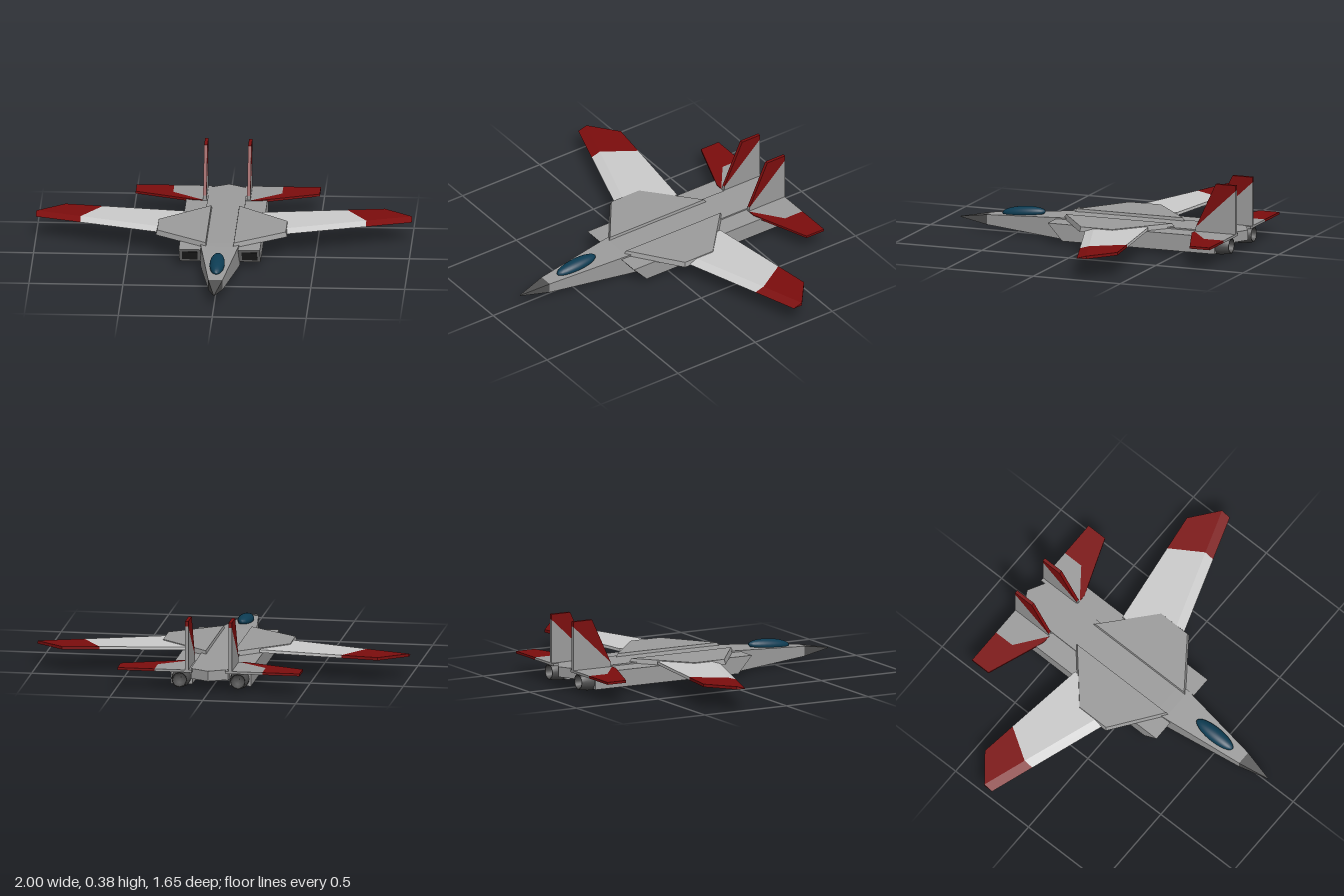
import * as THREE from 'three';

const mat = (name, color, side = THREE.FrontSide) => {
  const m = new THREE.MeshStandardMaterial({ color, side });
  m.name = name;
  return m;
};

// Skin a row of convex cross-sections (equal point counts), cap both ends, flat normals.
function loft(sections) {
  const n = sections[0].length, tris = [];
  for (let s = 0; s < sections.length - 1; s++) {
    const a = sections[s], b = sections[s + 1];
    for (let i = 0; i < n; i++) {
      const j = (i + 1) % n;
      tris.push([a[i], a[j], b[j]], [a[i], b[j], b[i]]);
    }
  }
  const first = sections[0], last = sections[sections.length - 1];
  for (let i = 1; i < n - 1; i++) {
    tris.push([first[0], first[i + 1], first[i]], [last[0], last[i], last[i + 1]]);
  }
  // Turn all faces outward if the signed volume is negative
  let volume = 0;
  const v = tris.map(t => t.map(p => new THREE.Vector3(...p)));
  v.forEach(([a, b, c]) => { volume += a.dot(b.clone().cross(c)); });
  if (volume < 0) v.forEach(t => t.reverse());
  const g = new THREE.BufferGeometry().setFromPoints(v.flat());
  g.computeVertexNormals();
  return g;
}

// Horizontal plate: outlines are [x, z]; the top outline may differ from the bottom one.
const plate = (s, y0, y1, bottom, top = bottom) =>
  loft([bottom.map(([x, z]) => [s * x, y0, z]), top.map(([x, z]) => [s * x, y1, z])]);

// Upright slab: outline is [z, y], spanning x0 to x1.
const slab = (s, x0, x1, outline) =>
  loft([x0, x1].map(x => outline.map(([z, y]) => [s * x, y, z])));

// Four-cornered body section
const ring = (z, w, y0, y1) => [[-w, y0, z], [w, y0, z], [w, y1, z], [-w, y1, z]];

export function createModel() {
  const grey = mat('bodyGrey', 0x9c9c9c);
  const light = mat('wingLightGrey', 0xcbcbcb);
  const red = mat('markingRed', 0x7c0d0d);
  const dark = mat('darkGrey', 0x505050, THREE.DoubleSide);
  const black = mat('intakeBlack', 0x2c2c2c);
  const glass = mat('canopyBlue', 0x0d3d54);

  const model = new THREE.Group();
  model.name = 'jet';
  const add = (name, geometry, material, parent = model) => {
    const mesh = new THREE.Mesh(geometry, material);
    mesh.name = name;
    parent.add(mesh);
    return mesh;
  };

  // Fuselage, nose and pointed tail
  add('fuselage', loft([
    ring(0.66, 0.038, 0.036, 0.09), ring(0.2, 0.1, 0.005, 0.122), ring(0.14, 0.105, 0, 0.123),
    ring(-0.1, 0.105, 0, 0.123), ring(-0.77, 0.1, 0.062, 0.12),
  ]), grey);
  add('noseCone', loft([ring(0.66, 0.038, 0.036, 0.09), ring(0.825, 0.002, 0.058, 0.062)]), dark);
  add('tailPoint', plate(1, 0.065, 0.12, [[-0.1, -0.77], [0.1, -0.77], [0, -0.825]]), grey);

  // Canopy
  const canopy = add('canopy', new THREE.SphereGeometry(1, 24, 16), glass);
  canopy.scale.set(0.04, 0.032, 0.124);
  canopy.position.set(0, 0.113, 0.462);
  canopy.rotation.x = 0.1;

  for (const s of [1, -1]) {
    const side = new THREE.Group();
    side.name = s > 0 ? 'leftSide' : 'rightSide';
    model.add(side);

    // Fixed wing root, with bevelled outer edges
    add('wingRoot', plate(s, 0.112, 0.138,
      [[0.07, 0.205], [0.35, 0], [0.35, -0.19], [0.07, -0.435]],
      [[0.075, 0.19], [0.342, -0.005], [0.342, -0.185], [0.075, -0.42]]), grey, side);

    // Swept wing with a sloped leading edge and red tip
    add('wing', plate(s, 0.118, 0.134,
      [[0.2, 0.02], [0.76, -0.169], [0.76, -0.22], [0.65, -0.395], [0.2, -0.333]],
      [[0.2, -0.03], [0.76, -0.222], [0.75, -0.238], [0.65, -0.395], [0.2, -0.333]]), light, side);
    add('wingTip', plate(s, 0.118, 0.134,
      [[0.76, -0.169], [1, -0.25], [1, -0.303], [0.85, -0.422], [0.65, -0.395], [0.76, -0.22]],
      [[0.76, -0.222], [1, -0.303], [0.997, -0.306], [0.85, -0.422], [0.65, -0.395], [0.75, -0.238]]), red, side);

    // Engine box with a raked intake
    add('engineBox', slab(s, 0.1, 0.216,
      [[0.238, 0.114], [0.155, 0.022], [-0.72, 0.022], [-0.72, 0.114]]), grey, side);
    add('intakeOpening', slab(s, 0.118, 0.2,
      [[0.227, 0.098], [0.172, 0.037], [0.168, 0.037], [0.223, 0.098]]), black, side);

    // Engine tube showing beneath the box
    const tube = add('engineTube', new THREE.CylinderGeometry(0.048, 0.048, 0.62, 20), dark, side);
    tube.rotation.x = Math.PI / 2;
    tube.position.set(s * 0.157, 0.06, -0.41);

    // Hollow nozzle
    const profile = [[0.05, 0], [0.05, 0.03], [0.042, 0.078], [0.035, 0.078], [0.03, 0.02], [0, 0.02]];
    const nozzle = add('nozzle', new THREE.LatheGeometry(
      profile.map(p => new THREE.Vector2(...p)), 20), dark, side);
    nozzle.rotation.x = -Math.PI / 2;
    nozzle.position.set(s * 0.157, 0.062, -0.715);

    // Tailplane with red front edge and tip
    add('tailplane', plate(s, 0.105, 0.118,
      [[0.09, -0.57], [0.13, -0.57], [0.29, -0.69], [0.29, -0.803], [0.09, -0.803]]), grey, side);
    add('tailplaneEdge', plate(s, 0.105, 0.118,
      [[0.13, -0.57], [0.17, -0.57], [0.49, -0.69], [0.29, -0.69]]), red, side);
    add('tailplaneTip', plate(s, 0.105, 0.118,
      [[0.29, -0.69], [0.49, -0.69], [0.49, -0.803], [0.29, -0.803]]), red, side);

    // Upright fin, split along its diagonal
    add('finBase', slab(s, 0.108, 0.126,
      [[-0.575, 0.115], [-0.575, 0.14], [-0.805, 0.355], [-0.805, 0.115]]), grey, side);
    add('finTop', slab(s, 0.108, 0.126,
      [[-0.575, 0.14], [-0.69, 0.383], [-0.805, 0.383], [-0.805, 0.355]]), red, side);
  }
  return model;
}
